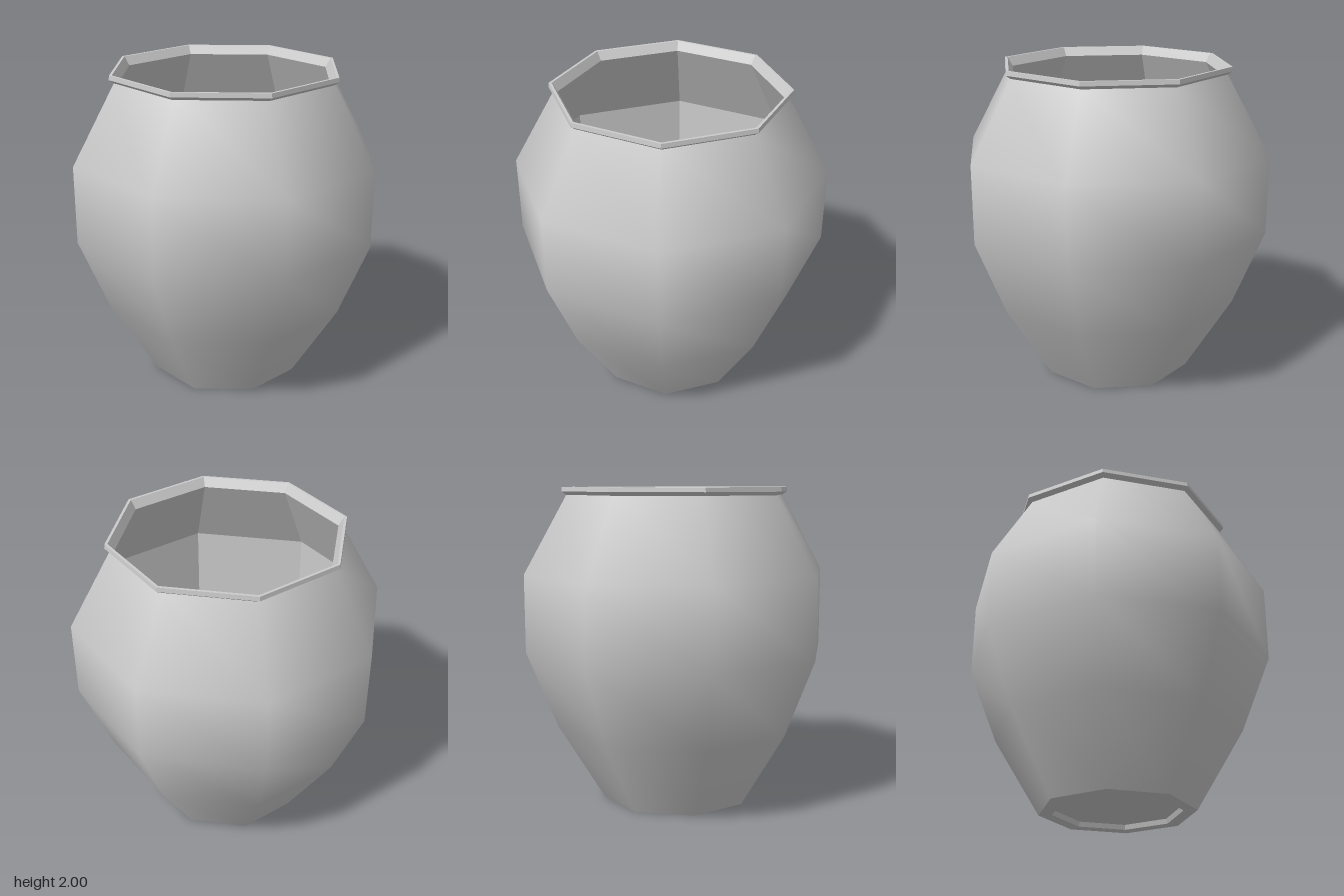
import * as THREE from 'three';

const SIDES = 8;

// Revolve a profile of [radius, height] points into an octagonal surface
function revolve(points, flat) {
  const lathe = new THREE.LatheGeometry(points.map(([r, y]) => new THREE.Vector2(r, y)), SIDES);
  if (!flat) return lathe;
  const faceted = lathe.toNonIndexed();
  faceted.computeVertexNormals();
  return faceted;
}

export function createModel() {
  const group = new THREE.Group();
  group.name = 'pot';

  const clay = new THREE.MeshStandardMaterial({ color: 0xcccccc });
  clay.name = 'light grey clay';

  const add = (name, points, flat) => {
    const mesh = new THREE.Mesh(revolve(points, flat), clay);
    mesh.name = name;
    group.add(mesh);
  };

  // Foot ring around a shallow recess
  add('foot', [[0, 0.03], [0.39, 0.03], [0.4, 0], [0.485, 0]], true);

  // Smooth-shaded outer belly
  add('outerWall', [[0.485, 0], [0.78, 0.49], [0.972, 0.975], [0.972, 1.465], [0.7, 1.952]], false);

  // Thin lip, flaring outside and bevelled inside
  add('rim', [[0.7, 1.952], [0.73, 1.973], [0.727, 2], [0.71, 2], [0.677, 1.945]], true);

  // Faceted hollow interior, down to the floor
  add('innerWall', [[0.677, 1.945], [0.945, 1.46], [0.945, 0.98], [0.75, 0.5], [0.52, 0.1]], true);
  add('innerFloor', [[0.52, 0.1], [0, 0.1]], true);

  return group;
}
